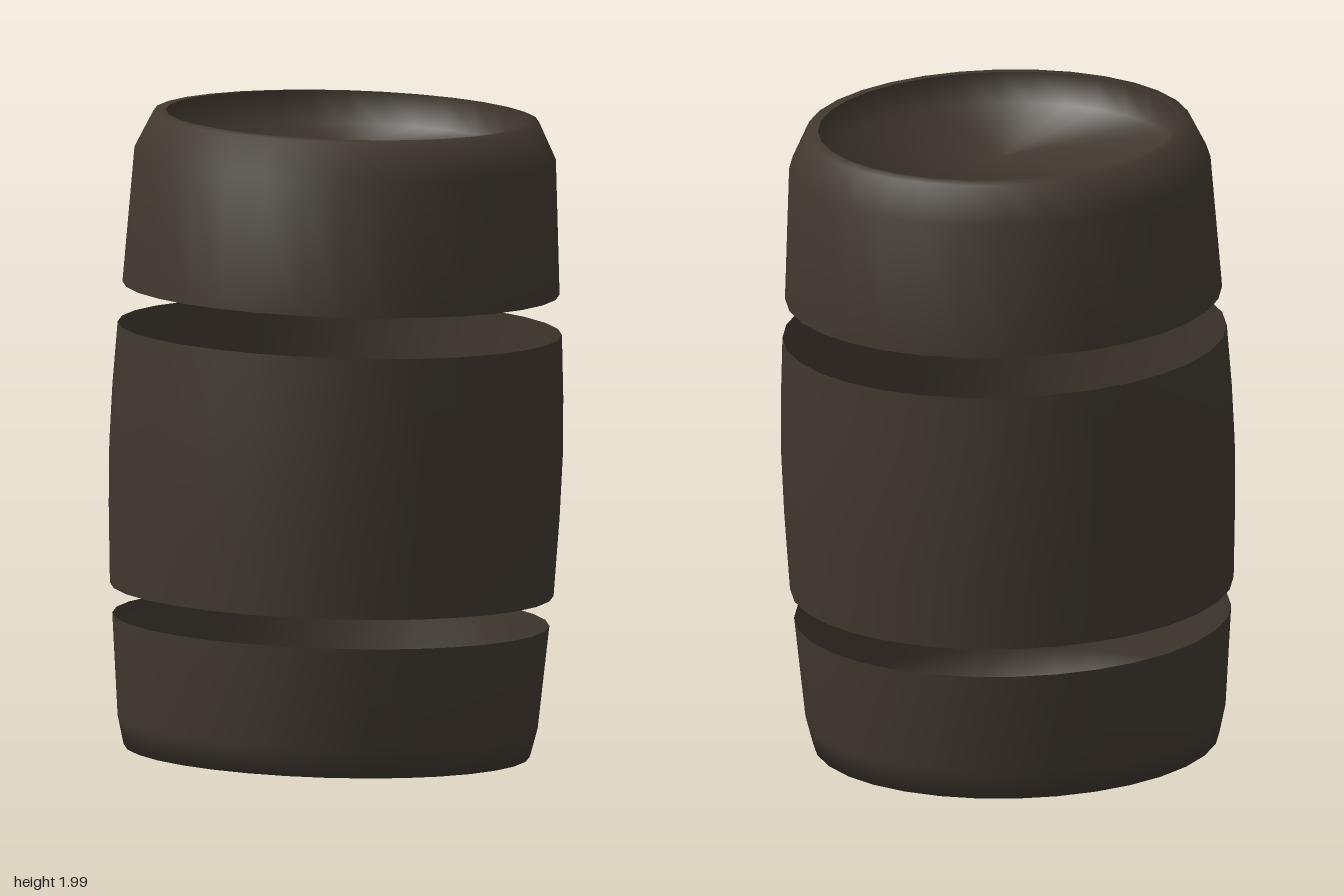
import * as THREE from 'three';

const SIDES = 32;

// Revolved shell from [radius, height, slope] triples, where slope is the
// smooth normal's angle in degrees: 0 outward, 90 up, 180 inward, -90 down
function shell(name, profile, material) {
  const points = profile.map(([r, y]) => new THREE.Vector2(r, y));
  const geometry = new THREE.LatheGeometry(points, SIDES);
  const normal = geometry.attributes.normal;
  for (let i = 0; i < normal.count; i++) {
    const turn = Math.floor(i / profile.length) / SIDES * Math.PI * 2;
    const slope = THREE.MathUtils.degToRad(profile[i % profile.length][2]);
    const out = Math.cos(slope);
    normal.setXYZ(i, out * Math.sin(turn), Math.sin(slope), out * Math.cos(turn));
  }
  const mesh = new THREE.Mesh(geometry, material);
  mesh.name = name;
  return mesh;
}

export function createModel() {
  const wood = new THREE.MeshStandardMaterial({ color: 0x40382f, side: THREE.DoubleSide });
  wood.name = 'dark brown';

  const model = new THREE.Group();
  model.name = 'barrel';

  // Heights are measured from the middle of the slightly leaning barrel
  const body = new THREE.Group();
  body.name = 'leaningBody';
  body.position.y = 1;
  body.rotation.z = -0.033;
  model.add(body);

  // Lower part with a closed, softly shaded bottom
  body.add(shell('lowerStaves', [
    [0, -0.978, -90], [0.62, -0.978, -56], [0.641, -0.89, -8], [0.667, -0.574, -4],
  ], wood));

  // Bulging middle, open at both ends
  body.add(shell('middleStaves', [
    [0.677, -0.482, -3], [0.688, -0.24, -2], [0.692, -0.05, 0], [0.688, 0.13, 2], [0.678, 0.322, 3],
  ], wood));

  // Upper part with a bevelled shoulder and a narrow rim
  body.add(shell('upperStaves', [
    [0.667, 0.446, 3], [0.643, 0.862, 14], [0.589, 0.974, 55], [0.552, 0.978, 80],
  ], wood));

  // Lid sunk below the rim, blending softly into its wall
  body.add(shell('sunkenLid', [
    [0.552, 0.978, 180], [0.552, 0.878, 141], [0, 0.878, 90],
  ], wood));

  return model;
}
